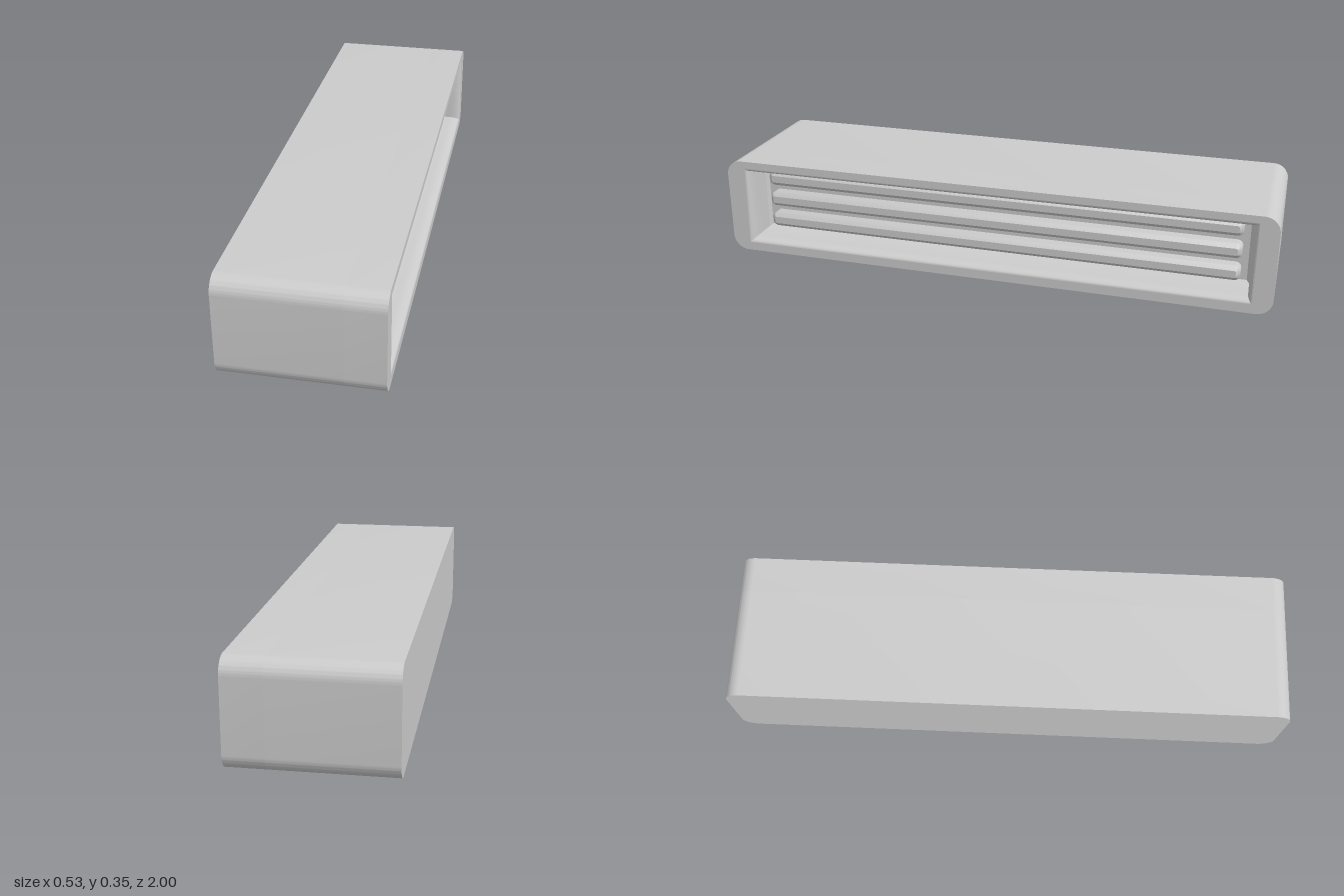
import * as THREE from 'three';
import { toCreasedNormals } from 'three/addons/utils/BufferGeometryUtils.js';

const HX = 0.265, HZ = 1, H = 0.354, MID = 0.18;
const PANEL_X = 0.135; // back of the recess

// Rounded rectangle centred on cx = 0, between y0 and y1
function roundedRect(Type, half, y0, y1, r) {
  const s = new Type();
  s.moveTo(-half + r, y0);
  s.lineTo(half - r, y0);
  s.absarc(half - r, y0 + r, r, -Math.PI / 2, 0);
  s.lineTo(half, y1 - r);
  s.absarc(half - r, y1 - r, r, 0, Math.PI / 2);
  s.lineTo(-half + r, y1);
  s.absarc(-half + r, y1 - r, r, Math.PI / 2, Math.PI);
  s.lineTo(-half, y0 + r);
  s.absarc(-half + r, y0 + r, r, Math.PI, Math.PI * 1.5);
  return s;
}

// Extrude a shape drawn in the side plane along +x
function extrudeX(shape, x0, depth, options = {}) {
  const g = new THREE.ExtrudeGeometry(shape, { depth, bevelEnabled: false, curveSegments: 10, ...options });
  g.rotateY(Math.PI / 2);
  g.translate(x0, 0, 0);
  return toCreasedNormals(g, 0.5);
}

// Inward-facing walls through rectangular sections [x, halfZ, halfY]
function recessWalls(sections) {
  const rings = sections.map(([x, z, y]) => [
    [x, MID - y, z], [x, MID - y, -z], [x, MID + y, -z], [x, MID + y, z],
  ]);
  const pos = [];
  for (let i = 0; i < rings.length - 1; i++) {
    for (let j = 0; j < 4; j++) {
      const k = (j + 1) % 4, a = rings[i], b = rings[i + 1];
      pos.push(...a[j], ...a[k], ...b[k], ...a[j], ...b[k], ...b[j]);
    }
  }
  const g = new THREE.BufferGeometry();
  g.setAttribute('position', new THREE.Float32BufferAttribute(pos, 3));
  return toCreasedNormals(g, 0.6);
}

export function createModel() {
  const model = new THREE.Group();
  const material = new THREE.MeshStandardMaterial({ color: 0xcccccc });
  const add = (name, geometry) => {
    const mesh = new THREE.Mesh(geometry, material);
    mesh.name = name;
    model.add(mesh);
    return mesh;
  };

  // Solid housing behind the recess; its end face is the recess panel
  add('housing', extrudeX(roundedRect(THREE.Shape, HZ, 0, H, 0.055), -HX, PANEL_X + HX));

  // Frame around the opening
  const rimZ = 0.932, rimY = 0.148;
  const frame = roundedRect(THREE.Shape, HZ, 0, H, 0.055);
  frame.holes.push(new THREE.Path([
    new THREE.Vector2(-rimZ, MID - rimY), new THREE.Vector2(-rimZ, MID + rimY),
    new THREE.Vector2(rimZ, MID + rimY), new THREE.Vector2(rimZ, MID - rimY),
  ]));
  add('frame', extrudeX(frame, PANEL_X, HX - PANEL_X));

  // Rounded lip leading into nearly straight recess walls
  const sections = [];
  for (let i = 0; i <= 6; i++) {
    const t = (i / 6) * Math.PI / 2;
    const inset = 0.018 * Math.sin(t);
    sections.push([HX - 0.045 * (1 - Math.cos(t)), rimZ - inset, rimY - inset]);
  }
  sections.push([PANEL_X + 0.012, 0.912, 0.128], [PANEL_X, 0.902, 0.12]);
  add('recessWalls', recessWalls(sections));

  // Three chamfered bars standing off the panel
  const bevel = 0.014;
  for (let i = 0; i < 3; i++) {
    const y = 0.098 + i * 0.083, hy = 0.027 - bevel;
    const outline = roundedRect(THREE.Shape, 0.88 - bevel, y - hy, y + hy, 0.006);
    const bar = extrudeX(outline, PANEL_X - 0.01, 0.046, {
      bevelEnabled: true, bevelSize: bevel, bevelThickness: bevel, bevelSegments: 1, curveSegments: 2,
    });
    add('bar' + (i + 1), bar);
  }
  return model;
}
